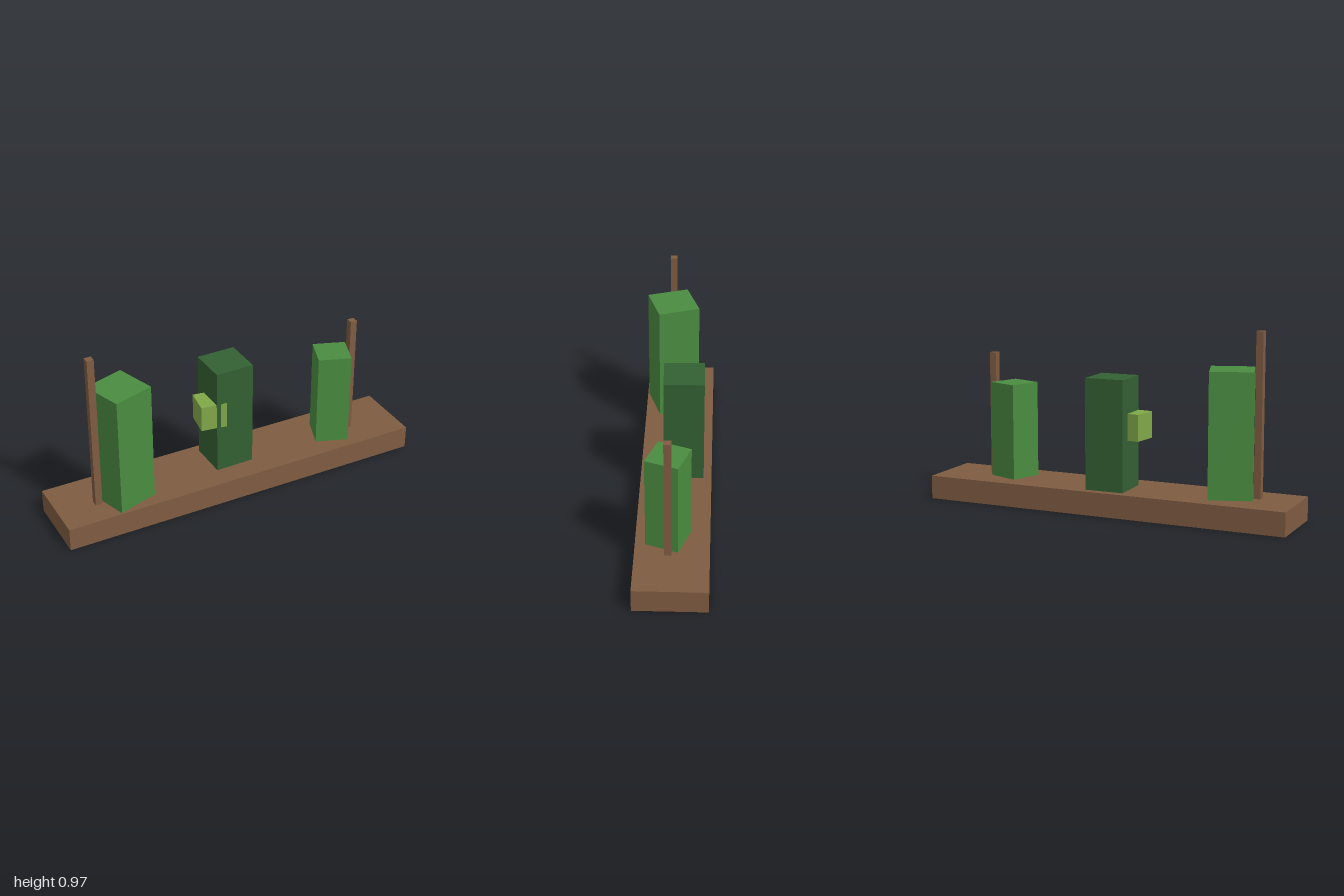
import * as THREE from 'three';

const material = (name, color, side = THREE.FrontSide) => {
  const m = new THREE.MeshStandardMaterial({ color, side });
  m.name = name;
  return m;
};

// Box standing on y = 0 with its underside left open
function openBox(w, h, d) {
  const g = new THREE.BoxGeometry(w, h, d).translate(0, h / 2, 0);
  const index = Array.from(g.index.array);
  index.splice(18, 6); // bottom face
  g.setIndex(index);
  g.clearGroups();
  return g;
}

export function createModel() {
  const group = new THREE.Group();
  group.name = 'cactusPlanter';

  const wood = material('brown wood', 0x7f5c42, THREE.DoubleSide);
  const green = material('leaf green', 0x4a8c40);
  const darkGreen = material('dark green', 0x336033);
  const lime = material('lime green', 0x80a848);

  const add = (name, geometry, mat, x, y, z, degrees = 0) => {
    const mesh = new THREE.Mesh(geometry, mat);
    mesh.name = name;
    mesh.position.set(x, y, z);
    mesh.rotation.y = THREE.MathUtils.degToRad(degrees);
    group.add(mesh);
  };

  // Hollow trough, open underneath
  const rim = 0.125;
  add('trough', openBox(2, rim, 0.375), wood, 0, 0, 0);

  // Three square plants, each turned a little: name, material, side, top, x, z, turn
  for (const [name, mat, side, top, x, z, turn] of [
    ['rightPlant', green, 0.226, 0.775, -0.638, 0.037, 18],
    ['middlePlant', darkGreen, 0.21, 0.71, -0.009, -0.039, 1],
    ['leftPlant', green, 0.176, 0.636, 0.598, 0.022, -20],
  ]) add(name, openBox(side, top - rim, side), mat, x, rim, z, turn);

  // Bud on the side of the middle plant
  add('bud', new THREE.BoxGeometry(0.14, 0.14, 0.14), lime, -0.116, 0.458, -0.007, -8);

  // Support stakes
  for (const [name, top, x, z] of [
    ['rightStake', 0.973, -0.784, 0.039],
    ['leftStake', 0.793, 0.716, 0.02],
  ]) add(name, openBox(0.037, top - rim, 0.037), wood, x, rim, z);

  return group;
}
